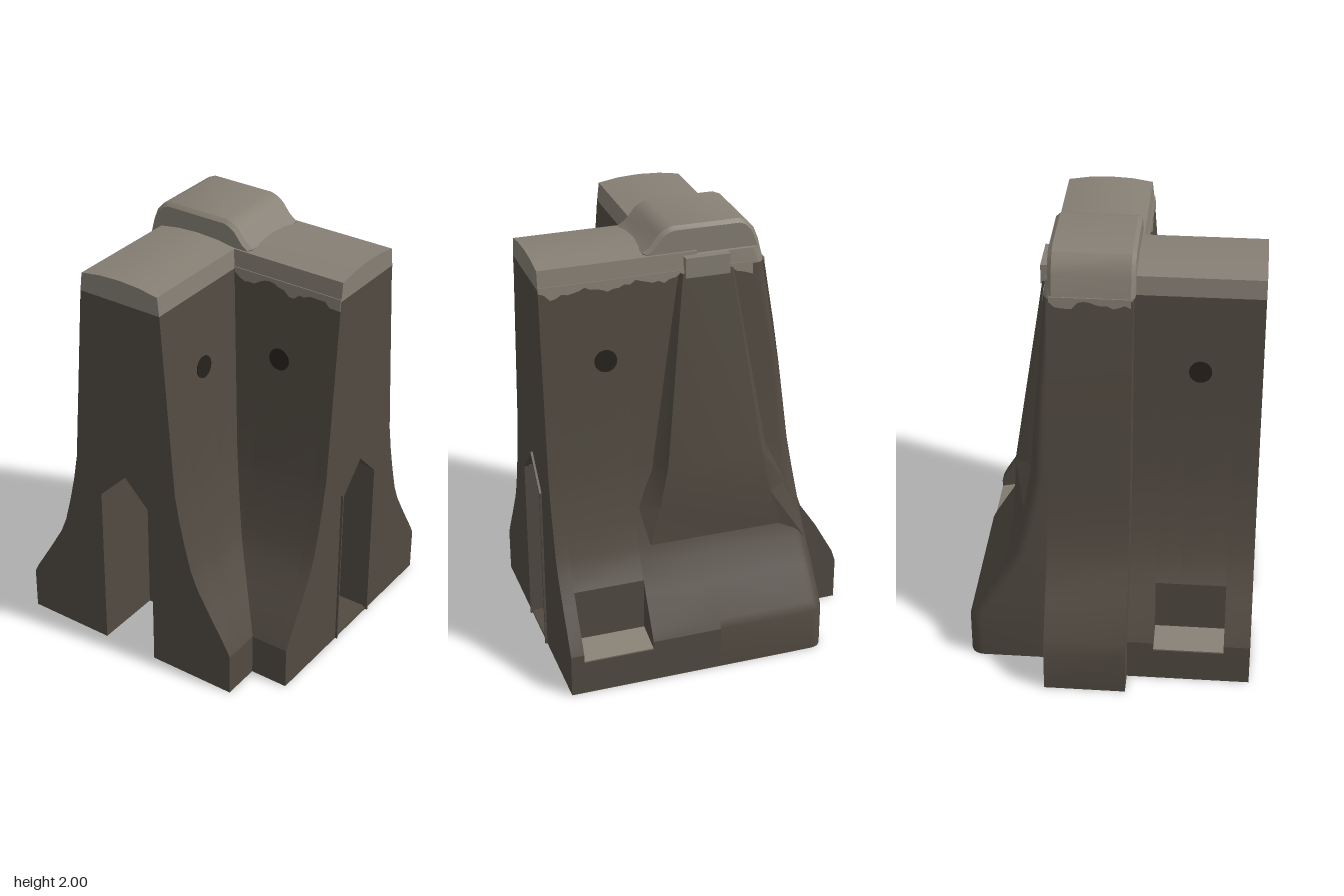
import * as THREE from 'three';
import { toCreasedNormals } from 'three/addons/utils/BufferGeometryUtils.js';

const concrete = new THREE.MeshStandardMaterial({ color: 0x514a41 });
concrete.name = 'dark concrete';
const paint = new THREE.MeshStandardMaterial({ color: 0x867f74 });
paint.name = 'worn light cap';
const hollow = new THREE.MeshStandardMaterial({ color: 0x26211c });
hollow.name = 'hole shadow';

// half width of the barrier section by height: [y, half width]
const SECTION = [[0, .56], [.2, .56], [.24, .54], [.38, .455], [.5, .385], [.58, .352], [.7, .32],
  [.82, .293], [.95, .27], [1.3, .243], [1.8, .205], [1.885, .195]];
const CX = -.04, CZ = -.09, SPLIT = 1.8, TILT = .076;

function half(y) {
  for (let i = 1; i < SECTION.length; i++) {
    const [y0, h0] = SECTION[i - 1], [y1, h1] = SECTION[i];
    if (y <= y1) return h0 + (h1 - h0) * (y - y0) / (y1 - y0);
  }
  return SECTION[SECTION.length - 1][1];
}

function mesh(parent, name, geo, mat) {
  const m = new THREE.Mesh(geo, mat);
  m.name = name;
  parent.add(m);
  return m;
}

function extrude(points, depth, opts = {}) {
  const shape = new THREE.Shape(points.map(p => new THREE.Vector2(p[0], p[1])));
  const geo = new THREE.ExtrudeGeometry(shape, { depth, bevelEnabled: false, ...opts });
  return toCreasedNormals(geo, .45);
}

// skin joining open rows of [x, y, z] points, bottom to top
function loft(rows) {
  const n = rows[0].length, idx = [];
  for (let r = 0; r < rows.length - 1; r++) for (let i = 0; i < n - 1; i++) {
    const a = r * n + i, b = a + 1, c = a + n, d = c + 1;
    idx.push(a, b, c, b, d, c);
  }
  const geo = new THREE.BufferGeometry();
  geo.setAttribute('position', new THREE.Float32BufferAttribute(rows.flat(2), 3));
  geo.setIndex(idx);
  return toCreasedNormals(geo, .6);
}

// barrier section outline, with optional side pocket (-1 / 1) and pointed slot
function outline(pocket, slot) {
  const side = s => {
    const pts = SECTION.filter(p => p[0] < SPLIT).concat([[SPLIT, half(SPLIT)]]);
    const cut = s === pocket
      ? [[0, .56], [.16, .56], [.19, .422], [.44, .422], ...pts.filter(p => p[0] > .45)] : pts;
    return cut.map(([y, h]) => [s * h, y]);
  };
  const arch = slot ? [[-.1375, 0], [-.1375, .8], [0, .94], [.1375, .8], [.1375, 0]] : [];
  return [...arch, ...side(1), ...side(-1).reverse()];
}

function arm(name, segments, pocket) {
  const g = new THREE.Group();
  g.name = name;
  for (const [from, to, hasPocket, hasSlot] of segments) {
    mesh(g, 'armBody', extrude(outline(hasPocket ? pocket : 0, hasSlot), to - from), concrete).position.z = from;
    if (hasPocket) {
      // worn light floor of the side pocket
      const floor = mesh(g, 'pocketFloor', new THREE.BoxGeometry(.14, .008, to - from), paint);
      floor.position.set(pocket * .49, .177, (from + to) / 2);
      floor.rotation.z = -pocket * .21;
    }
  }
  // light cap with a slight crown
  const start = segments[0][0], end = segments[segments.length - 1][1];
  const h = half(SPLIT), t = half(1.885);
  const cap = extrude([[-h, SPLIT], [h, SPLIT], [t, 1.885], [.1, 1.9], [0, 1.905], [-.1, 1.9], [-t, 1.885]], end - start);
  mesh(g, 'armCap', cap, paint).position.z = start;
  return g;
}

// ragged lower edge of the cap
function drips(width, seed) {
  const pts = [[width, .01], [0, .01]], n = Math.round(width / .025);
  for (let i = 0; i <= n; i++) {
    seed = (seed * 16807) % 2147483647;
    pts.push([width * i / n, -.012 - .028 * (seed / 2147483647) - .012 * Math.sin(i * .7)]);
  }
  return extrude(pts, .006);
}

export function createModel() {
  const model = new THREE.Group();
  model.name = 'cornerBarrier';

  // arm running to the front, with the open joint slot
  const front = arm('frontArm', [[.05, .21, 0, 0], [.21, .32, 1, 0], [.32, .53, 1, 1], [.53, .65, 0, 1]], -1);
  front.position.x = CX;
  model.add(front);

  // arm running to the side, hollow behind its pointed opening
  const side = arm('sideArm', [[0, .32, 0, 1], [.32, .64, 1, 1], [.64, .7, 0, 1]], 1);
  side.rotation.y = Math.PI / 2;
  side.position.z = CZ;
  model.add(side);
  mesh(model, 'hollowFloor', new THREE.BoxGeometry(.7, .01, .28), concrete).position.set(.35, .005, CZ);

  // thin rim around the side opening
  const rim = extrude([[-.1375, 0], [-.13, 0], [-.13, .797], [0, .929], [.13, .797], [.13, 0],
    [.1375, 0], [.1375, .8], [0, .94], [-.1375, .8]], .02);
  const rimMesh = mesh(model, 'openingRim', rim, concrete);
  rimMesh.rotation.y = Math.PI / 2;
  rimMesh.position.set(.69, 0, CZ);

  // rounded outer corner block
  const left = [[0, -.5], [.2, -.5], [.4, -.49], [.6, -.47], [.95, -.425], [1.3, -.38], [SPLIT, -.308], [1.87, -.29]];
  const ring = (y, xl, zb, r) => {
    const pts = [[.002, y, zb]];
    for (let i = 0; i <= 6; i++) {
      const a = i / 6 * Math.PI / 2;
      pts.push([xl + r - r * Math.sin(a), y, zb + r - r * Math.cos(a)]);
    }
    pts.push([xl, y, -.1]);
    return pts;
  };
  const leftAt = y => {
    const i = Math.max(1, left.findIndex(p => p[0] >= y));
    const [a, b] = [left[i - 1], left[i]];
    return a[1] + (b[1] - a[1]) * (y - a[0]) / (b[0] - a[0]);
  };
  const blockRow = y => ring(y, leftAt(y), CZ - half(y), y < 1 ? .06 : .04);
  const heights = SECTION.map(p => p[0]).filter(y => y <= SPLIT);
  mesh(model, 'cornerBlock', loft([ring(0, -.05, -.15, .01), ...heights.map(blockRow)]), concrete);
  mesh(model, 'cornerBlockCap', loft([blockRow(SPLIT), blockRow(1.87), ring(1.9, -.2, -.2, .01)]), paint);

  // buttress slab across the corner, rising above the arms
  const ribLeft = [[-.31, SPLIT], [-.36, 1.5], [-.39, 1.3], [-.44, .92], [-.46, .76], [-.49, .63],
    [-.52, .54], [-.6, .42], [-.69, .26], [-.71, .2], [-.71, 0]];
  mesh(model, 'buttress', extrude([...ribLeft, [0, 0], [0, SPLIT]], .37), concrete).position.z = -.28;
  const ribCap = [[-.31, SPLIT], [.2, SPLIT], [.235, 1.895], [.2, 1.92], [.16, 1.97], [.13, 1.99], [.1, 2],
    [-.2, 2], [-.235, 1.985], [-.265, 1.95], [-.285, 1.9]];
  mesh(model, 'buttressCap', extrude(ribCap, .34, {
    bevelEnabled: true, bevelThickness: .018, bevelSize: .015, bevelOffset: -.015, bevelSegments: 1,
  }), paint).position.z = -.26;

  // tapering swell on the back face, with a light lug at its top
  const swellRow = (y, x0, x1, z, flare) => {
    const skin = CZ - half(y) + .01;
    return [[x1 + flare, y, skin], [x1, y, z], [x0, y, z], [x0 - flare, y, skin]];
  };
  mesh(model, 'backSwell', loft([swellRow(.5, -.36, .28, -.445, .1), swellRow(.75, -.3, .22, -.445, .1),
    swellRow(.95, -.26, .18, -.44, .05), swellRow(1.8, -.15, .07, -.313, .02)]), concrete);
  mesh(model, 'backLug', new THREE.BoxGeometry(.2, .09, .06), paint).position.set(-.04, 1.825, -.292);

  // ragged cap edges
  const h = half(SPLIT);
  const addDrips = (width, seed, x, z, turn) => {
    const holder = new THREE.Group();
    holder.name = 'raggedCapEdge';
    holder.position.set(x, SPLIT, z);
    holder.rotation.y = turn;
    mesh(holder, 'raggedEdge', drips(width, seed), paint).rotation.x = -TILT;
    model.add(holder);
  };
  addDrips(.53, 71, .17, CZ + h - .002, 0);
  addDrips(.95, 913, .7, CZ - h + .002, Math.PI);
  addDrips(.35, 407, -.309, -.27, -Math.PI / 2);

  // lifting holes on both faces of each arm
  const hh = half(1.45);
  for (const s of [-1, 1]) {
    const a = mesh(model, 'liftingHole', new THREE.CylinderGeometry(.05, .05, .008, 24), hollow);
    a.position.set(CX + s * hh, 1.45, .38);
    a.rotation.z = -s * (Math.PI / 2 - TILT);
    const b = mesh(model, 'liftingHole', new THREE.CylinderGeometry(.05, .05, .008, 24), hollow);
    b.position.set(.42, 1.45, CZ + s * hh);
    b.rotation.x = s * (Math.PI / 2 - TILT);
  }
  return model;
}
